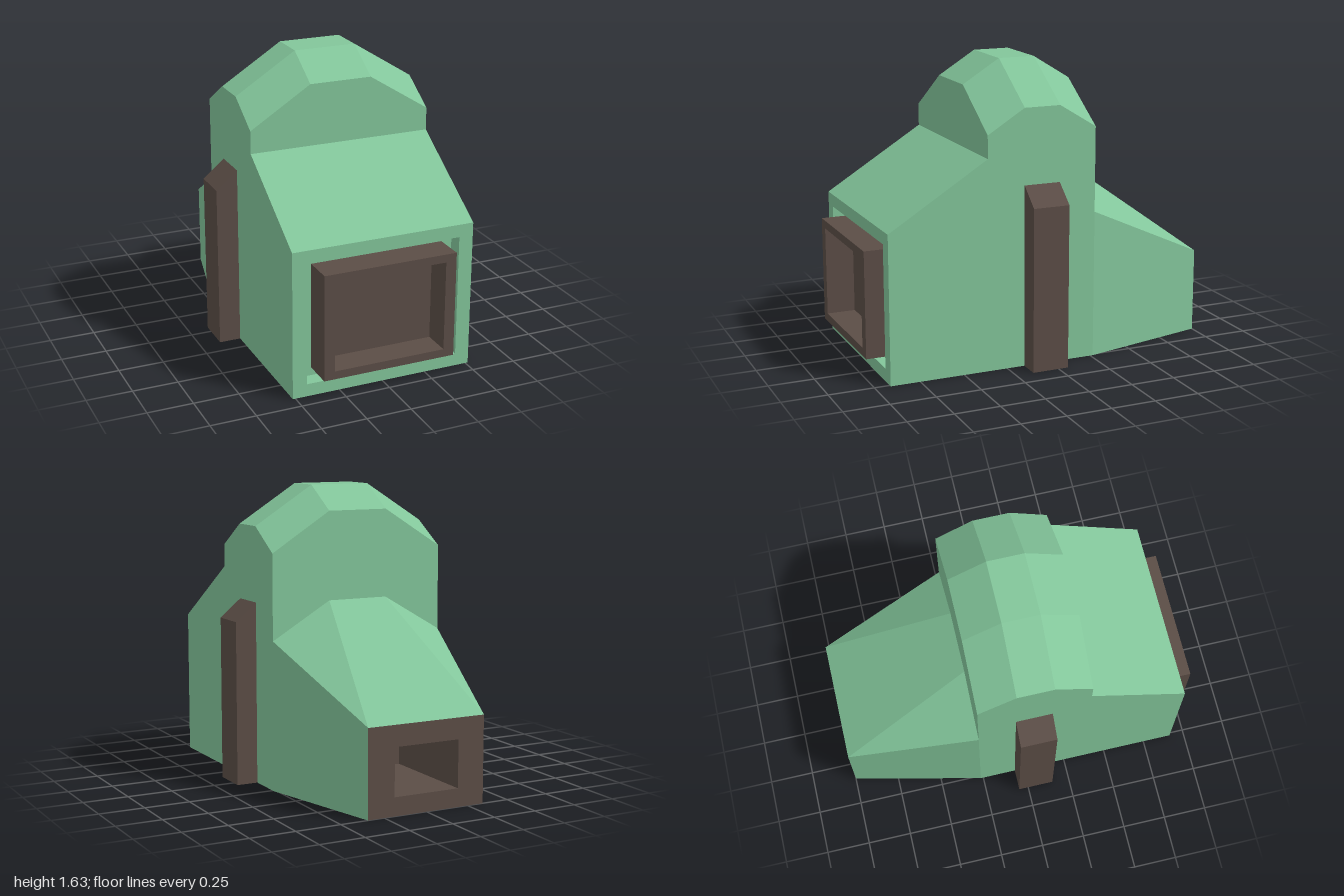
import * as THREE from 'three';

const green = new THREE.MeshStandardMaterial({ color: 0x82c59a });
green.name = 'soft green';
const brown = new THREE.MeshStandardMaterial({ color: 0x5b4d46 });
brown.name = 'dark brown';

function add(parent, name, geometry, material, x = 0, y = 0, z = 0) {
  const mesh = new THREE.Mesh(geometry, material);
  mesh.name = name;
  mesh.position.set(x, y, z);
  parent.add(mesh);
  return mesh;
}

const toVectors = (points) => points.map(([x, y]) => new THREE.Vector2(x, y));
const rect = (hw, y0, y1) => [[-hw, y0], [hw, y0], [hw, y1], [-hw, y1]];

function shapeWithHole(outline, hole) {
  const shape = new THREE.Shape(toVectors(outline));
  shape.holes.push(new THREE.Path(toVectors(hole)));
  return shape;
}

// Inward-facing box, open towards +z at z = 0
function pocket(w, h, d) {
  const box = new THREE.BoxGeometry(w, h, d).translate(0, 0, -d / 2);
  const index = Array.from(box.index.array);
  index.splice(24, 6);
  box.clearGroups();
  box.setIndex(index.reverse());
  const flat = box.toNonIndexed();
  flat.computeVertexNormals();
  return flat;
}

// Flat face with a rectangular recess sunk into it
function recessedPanel(name, outline, hw, y0, y1, depth, material) {
  const group = new THREE.Group();
  group.name = name;
  add(group, name + 'Face', new THREE.ShapeGeometry(shapeWithHole(outline, rect(hw, y0, y1))), material);
  add(group, name + 'Recess', pocket(hw * 2, y1 - y0, depth), material, 0, (y0 + y1) / 2, 0);
  return group;
}

// Shell through cross-sections running front to back, open at the ends and below
function loft(sections) {
  const rings = sections.map(([z, hw, side, ridge, top]) => [
    [hw, 0, z], [hw, side, z], [ridge, top, z],
    [-ridge, top, z], [-hw, side, z], [-hw, 0, z],
  ]);
  const positions = [];
  for (let i = 0; i < rings.length - 1; i++) {
    const a = rings[i], b = rings[i + 1];
    for (let j = 0; j < 5; j++) {
      positions.push(...a[j], ...b[j], ...b[j + 1], ...a[j], ...b[j + 1], ...a[j + 1]);
    }
  }
  const geometry = new THREE.BufferGeometry();
  geometry.setAttribute('position', new THREE.Float32BufferAttribute(positions, 3));
  geometry.computeVertexNormals();
  return geometry;
}

export function createModel() {
  const model = new THREE.Group();
  model.name = 'model';

  // Body: sloped nose, faceted dome, tapered tail [z, half width, side y, ridge x, top y]
  add(model, 'bodyShell', loft([
    [0.915, 0.515, 0.82, 0.175, 0.82],
    [0.36, 0.515, 1.165, 0.175, 1.165],
    [0.36, 0.515, 1.29, 0.175, 1.505],
    [0.15, 0.515, 1.42, 0.175, 1.635],
    [-0.055, 0.515, 1.42, 0.175, 1.635],
    [-0.265, 0.515, 1.29, 0.175, 1.505],
    [-0.265, 0.515, 0.82, 0.175, 1.02],
    [-1, 0.345, 0.475, 0.345, 0.475],
  ]), green);

  // Front face with its recess
  const front = recessedPanel('front', rect(0.515, 0, 0.82), 0.435, 0.07, 0.75, 0.085, green);
  front.position.z = 0.915;
  model.add(front);

  // Frame standing in the front recess, with a dark back plate
  const frame = shapeWithHole(rect(0.375, 0.115, 0.705), rect(0.315, 0.16, 0.66));
  add(model, 'frontFrame', new THREE.ExtrudeGeometry(frame, { depth: 0.17, bevelEnabled: false }), brown, 0, 0, 0.83);
  add(model, 'frontFrameBack', new THREE.BoxGeometry(0.64, 0.51, 0.008), brown, 0, 0.41, 0.836);

  // Dark tail face with a deep opening
  const tail = recessedPanel('tail', rect(0.345, 0, 0.475), 0.19, 0.1, 0.36, 0.6, brown);
  tail.rotation.y = Math.PI;
  tail.position.z = -1;
  model.add(tail);

  // Underside with a shallow recess
  const floorOutline = [[-0.345, -1], [0.345, -1], [0.515, -0.265], [0.515, 0.915], [-0.515, 0.915], [-0.515, -0.265]];
  const underside = recessedPanel('underside', floorOutline, 0.17, -0.265, 0.36, 0.09, green);
  underside.rotation.x = Math.PI / 2;
  model.add(underside);

  // Side posts with slanted tops
  for (const s of [1, -1]) {
    const profile = [[0.515, 0], [0.635, 0], [0.635, 0.905], [0.515, 1.005]].map(([x, y]) => [s * x, y]);
    const geometry = new THREE.ExtrudeGeometry(new THREE.Shape(toVectors(profile)), { depth: 0.205, bevelEnabled: false });
    add(model, s > 0 ? 'leftPost' : 'rightPost', geometry, brown, 0, 0, -0.055);
  }

  return model;
}
